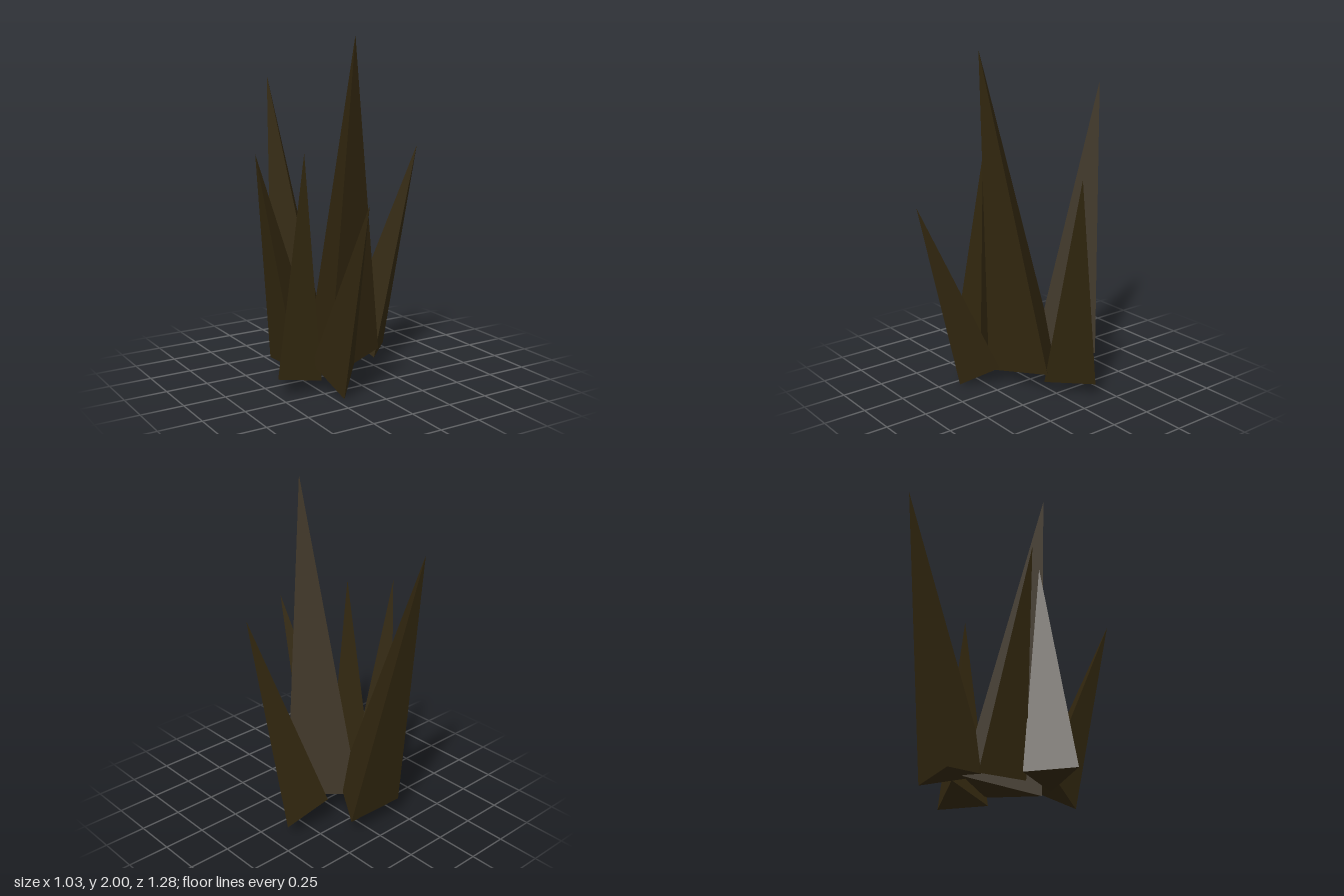
import * as THREE from 'three';

const darkBark = new THREE.MeshStandardMaterial({ color: 0x32270f });
darkBark.name = 'dark brown';

// Closed three-sided spike: a tip over a tilted triangular base
function spike(name, tip, a, b, c) {
  const [t, p, q, r] = [tip, a, b, c].map(v => new THREE.Vector3(...v));
  // Keep every face turned outward whatever the corner order
  const volume = q.clone().sub(p).cross(r.clone().sub(p)).dot(t.clone().sub(p));
  const base = volume > 0 ? [p, q, r] : [p, r, q];
  const corners = [base[0], base[2], base[1]];
  for (let i = 0; i < 3; i++) corners.push(base[i], base[(i + 1) % 3], t);
  const geometry = new THREE.BufferGeometry().setFromPoints(corners);
  geometry.computeVertexNormals();
  const mesh = new THREE.Mesh(geometry, darkBark);
  mesh.name = name;
  return mesh;
}

export function createModel() {
  const group = new THREE.Group();
  group.name = 'spikeCluster';
  group.add(
    // Tall pair
    spike('mainSpike', [-0.08, 2, 0.295], [-0.18, 0.05, 0.18], [0.24, 0.13, 0.06], [-0.07, 0.13, -0.24]),
    spike('backSpike', [-0.13, 1.75, -0.64], [0.14, 0.11, -0.4], [-0.24, 0.11, -0.41], [-0.06, 0.16, -0.08]),
    // Shorter spikes around them
    spike('leftSpike', [0.515, 1.35, 0.05], [0.42, 0.075, -0.155], [0.21, 0.075, 0.06], [0.145, 0.17, -0.2]),
    spike('rightBackSpike', [-0.515, 1.35, -0.05], [-0.32, 0.075, -0.275], [-0.3, 0.08, -0.015 + 0.03], [-0.08, 0.16, -0.14]),
    spike('rightFrontSpike', [-0.3, 1.36, 0.12], [-0.52, 0.12, 0.2], [-0.24, 0.06, 0.2], [-0.37, 0.1, -0.045]),
    spike('frontSpike', [-0.21, 1.14, 0.64], [-0.2, 0, 0.38], [-0.03, 0.12, 0.21], [-0.285, 0.16, 0.17])
  );
  return group;
}
